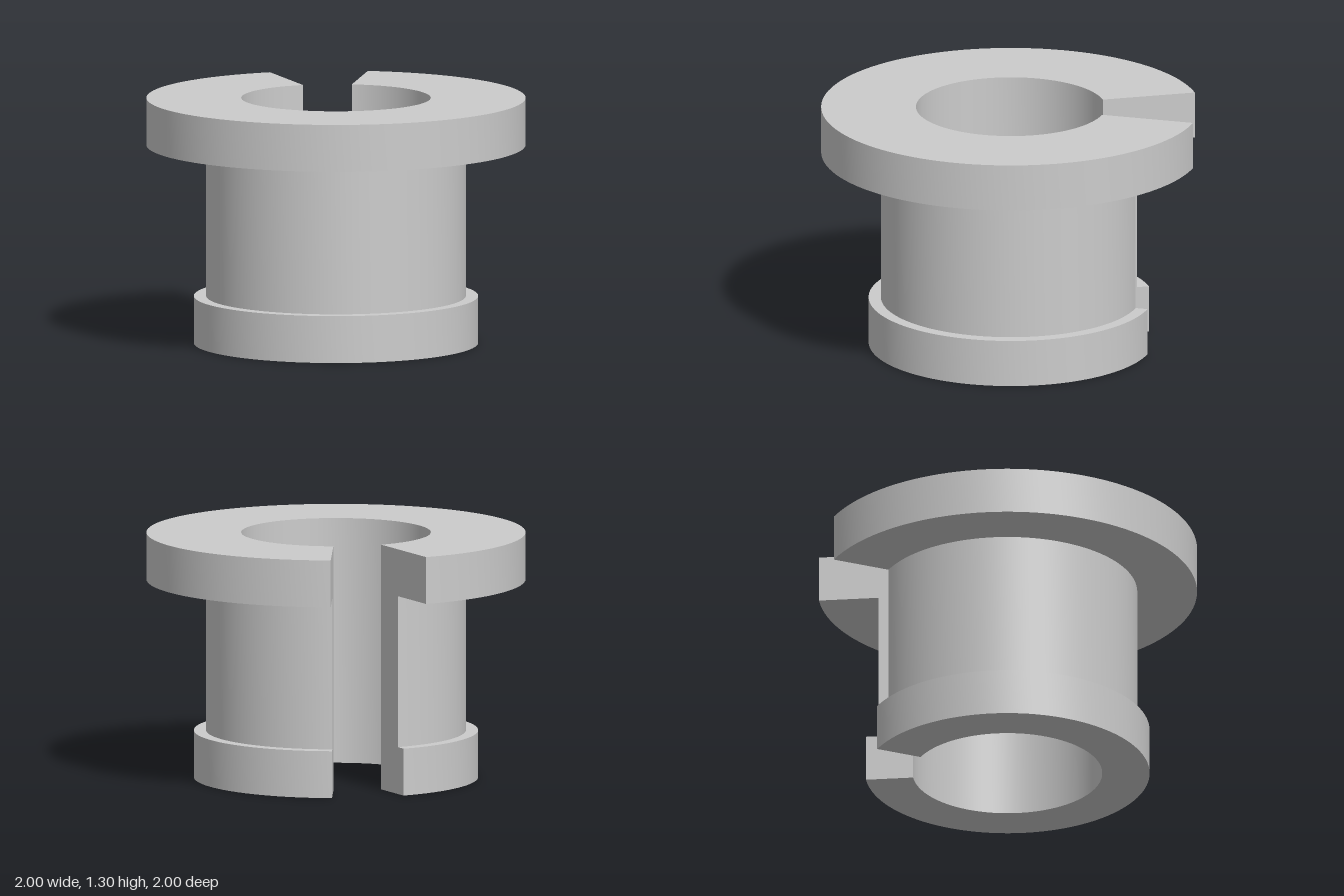
import * as THREE from 'three';
import { toCreasedNormals } from 'three/addons/utils/BufferGeometryUtils.js';

const START = Math.PI;                 // first slot face, straight back
const SWEEP = THREE.MathUtils.degToRad(330);

// Closed cross-section (radius, height), counter-clockwise
const PROFILE = [
  [0.5, 0], [0.75, 0], [0.75, 0.25], [0.685, 0.25],
  [0.685, 1.055], [1, 1.055], [1, 1.305], [0.5, 1.305],
].map(([r, y]) => new THREE.Vector2(r, y));

export function createModel() {
  const group = new THREE.Group();
  group.name = 'splitFlangedBushing';
  const material = new THREE.MeshStandardMaterial({ color: 0xcccccc });

  const add = (name, geometry) => {
    const mesh = new THREE.Mesh(geometry, material);
    mesh.name = name;
    group.add(mesh);
    return mesh;
  };

  // Base collar, sleeve, top flange and bore in one partial revolution
  const body = new THREE.LatheGeometry([...PROFILE, PROFILE[0]], 110, START, SWEEP);
  add('bushingBody', toCreasedNormals(body, 0.5));

  // Flat faces closing the slot; the far one is mirrored to face outward
  const slotFace = (name, angle, side) => {
    const shape = new THREE.Shape(PROFILE.map((p) => new THREE.Vector2(p.x * side, p.y)));
    const face = add(name, new THREE.ShapeGeometry(shape));
    face.rotation.y = angle - side * Math.PI / 2;
  };
  slotFace('rightSlotFace', START, 1);
  slotFace('leftSlotFace', START + SWEEP, -1);

  return group;
}
